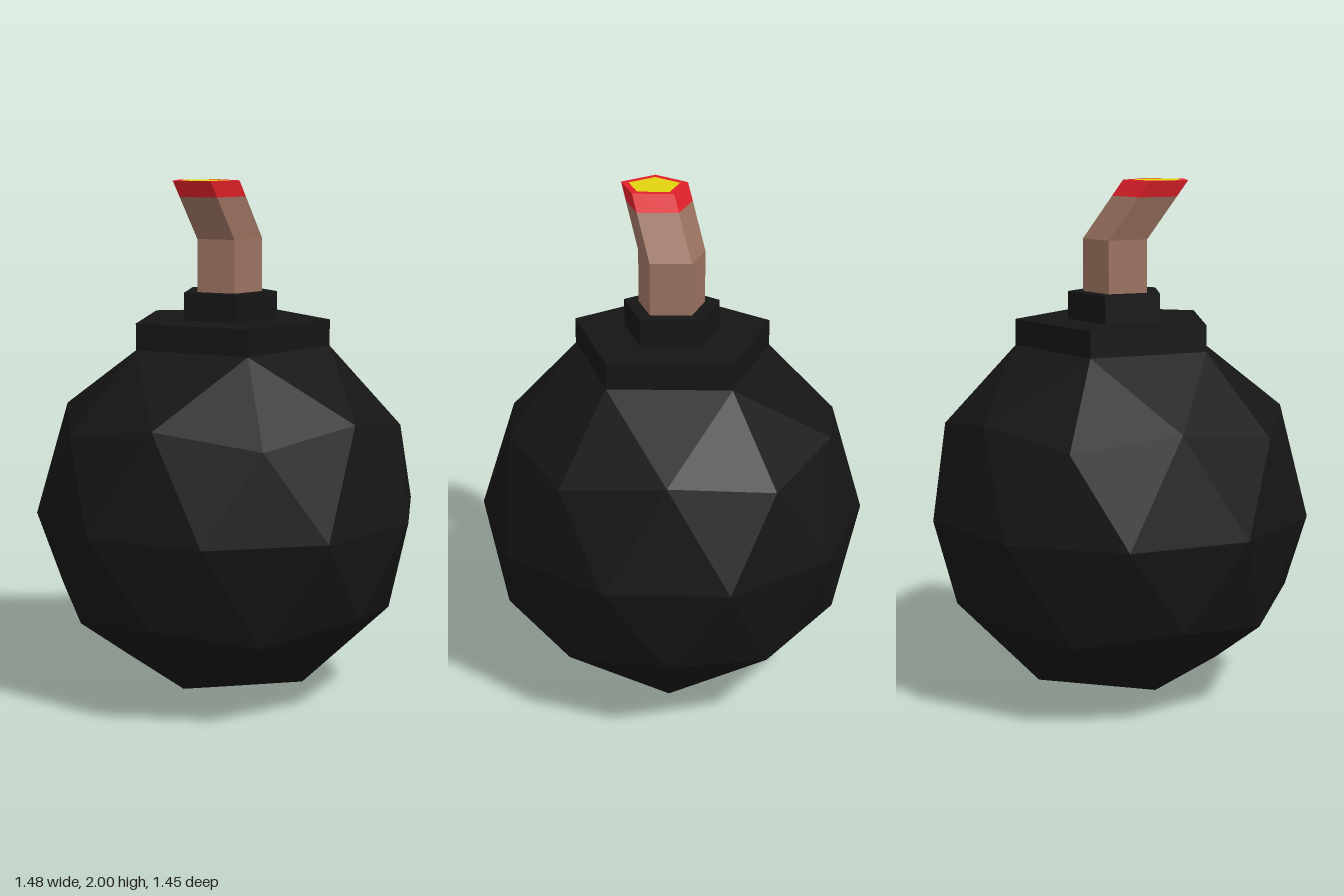
import * as THREE from 'three';

const R = 0.743;                              // body radius, also its centre height
const TURN = THREE.MathUtils.degToRad(-12.2); // shared twist of all five-sided parts
const RIM = R * 0.8507;                       // height of the body's upper rim above its centre

function addMesh(group, name, geometry, color) {
  const mesh = new THREE.Mesh(geometry, new THREE.MeshStandardMaterial({ color, flatShading: true }));
  mesh.name = name;
  group.add(mesh);
}

// Icosahedron standing on a corner, split once, with its top corner flattened
function bodyGeometry() {
  const v = [0, 1, 0];
  for (const [offset, y] of [[0, 1], [Math.PI / 5, -1]]) {
    for (let k = 0; k < 5; k++) {
      const a = TURN + offset + k * Math.PI * 0.4;
      v.push(2 * Math.cos(a) / Math.sqrt(5), y / Math.sqrt(5), 2 * Math.sin(a) / Math.sqrt(5));
    }
  }
  v.push(0, -1, 0);
  const faces = [];
  for (let k = 0; k < 5; k++) {
    const n = (k + 1) % 5;
    const u0 = 1 + k, u1 = 1 + n, l0 = 6 + k, l1 = 6 + n;
    faces.push(0, u1, u0, u0, u1, l0, l0, u1, l1, 11, l0, l1);
  }
  const g = new THREE.PolyhedronGeometry(v, faces, R, 1);
  const p = g.attributes.position;
  for (let i = 0; i < p.count; i++) p.setY(i, Math.min(p.getY(i), RIM) + R);
  return g;
}

// Five-sided lathe; everything above the bend leans towards -x
function fiveSided(points) {
  const g = new THREE.LatheGeometry(points.map(([r, y]) => new THREE.Vector2(r, y)), 5, Math.PI / 2 - TURN);
  const p = g.attributes.position;
  for (let i = 0; i < p.count; i++) {
    const t = Math.max(0, (p.getY(i) - 1.78) / 0.22);
    p.setX(i, p.getX(i) - 0.152 * t);
    p.setZ(i, p.getZ(i) + 0.007 * t);
  }
  return g;
}

export function createModel() {
  const group = new THREE.Group();
  group.name = 'bomb';
  const rim = R * 0.5257;

  addMesh(group, 'body', bodyGeometry(), 0x151515);
  // Stepped collar and fuse socket
  addMesh(group, 'collar', fiveSided([[rim, R + RIM], [rim, 1.475], [0.189, 1.475], [0.189, 1.58], [0, 1.58]]), 0x151515);
  // Bent fuse with a red band and a glowing end
  addMesh(group, 'fuse', fiveSided([[0.131, 1.58], [0.131, 1.78], [0.131, 1.94]]), 0x9a7260);
  addMesh(group, 'fuseBand', fiveSided([[0.131, 1.94], [0.131, 2], [0.101, 2]]), 0xe0202a);
  addMesh(group, 'fuseEmber', fiveSided([[0.101, 2], [0, 2]]), 0xe0d010);
  return group;
}
